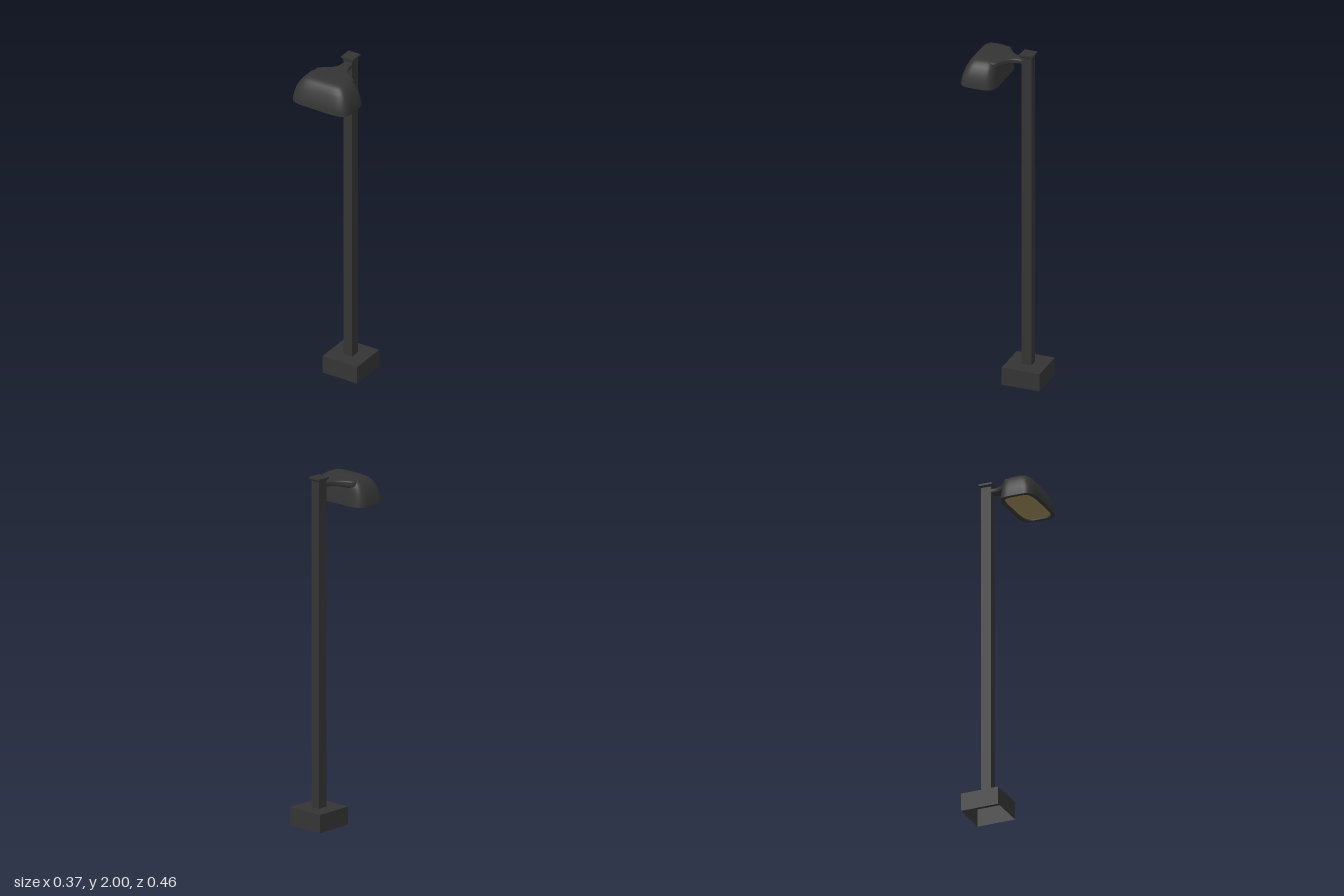
import * as THREE from 'three';

const metal = new THREE.MeshStandardMaterial({ color: 0x343434 });
metal.name = 'charcoal metal';
const metalOpen = metal.clone();
metalOpen.side = THREE.DoubleSide;
const glow = new THREE.MeshStandardMaterial({ color: 0x948455 });
glow.name = 'warm lens';

const SIDES = 56;
const POST_Z = -0.119;

// Unit superellipse point: a rounded rectangle with softly bulged sides
function unit(i, power) {
  const t = (i / SIDES) * Math.PI * 2, c = Math.cos(t), s = Math.sin(t);
  const f = (v) => Math.sign(v) * Math.pow(Math.abs(v), 2 / power);
  return [f(c), f(s)];
}

// Horizontal ring: height, half width, back z, front z
function ring([y, hx, z0, z1]) {
  return Array.from({ length: SIDES }, (_, i) => {
    const [u, v] = unit(i, 4.6);
    return [u * hx, y, (z0 + z1) / 2 + (v * (z1 - z0)) / 2];
  });
}

// Upright neck section: z, half width, bottom y, top y
function section([z, hx, y0, y1]) {
  return Array.from({ length: SIDES }, (_, i) => {
    const [u, v] = unit(i, 4);
    return [u * hx, (y0 + y1) / 2 - (v * (y1 - y0)) / 2, z];
  });
}

// Smooth skin through a list of closed rings
function loft(rings) {
  const index = [];
  for (let j = 0; j < rings.length - 1; j++) {
    for (let i = 0; i < SIDES; i++) {
      const k = (i + 1) % SIDES;
      const a = j * SIDES + i, b = (j + 1) * SIDES + i;
      const c = j * SIDES + k, d = (j + 1) * SIDES + k;
      index.push(a, b, c, c, b, d);
    }
  }
  const g = new THREE.BufferGeometry();
  g.setAttribute('position', new THREE.Float32BufferAttribute(rings.flat(2), 3));
  g.setIndex(index);
  g.computeVertexNormals();
  return g;
}

function add(parent, name, geometry, material, x = 0, y = 0, z = 0) {
  const m = new THREE.Mesh(geometry, material);
  m.name = name;
  m.position.set(x, y, z);
  parent.add(m);
  return m;
}

export function createModel() {
  const model = new THREE.Group();
  model.name = 'streetLamp';

  // Hollow base, open underneath
  const baseGeo = new THREE.BoxGeometry(0.226, 0.105, 0.226);
  const idx = Array.from(baseGeo.index.array);
  idx.splice(18, 6); // drop the bottom face
  baseGeo.setIndex(idx);
  baseGeo.clearGroups();
  add(model, 'base', baseGeo, metalOpen, 0, 0.0525, POST_Z);

  // Square post with a flared collar and flat cap
  add(model, 'post', new THREE.BoxGeometry(0.056, 1.876, 0.06), metal, 0, 1.042, POST_Z);
  const collar = new THREE.CylinderGeometry(0.038 * Math.SQRT2, 0.029 * Math.SQRT2, 0.009, 4, 1, false, Math.PI / 4).toNonIndexed();
  collar.computeVertexNormals();
  add(model, 'collar', collar, metal, 0, 1.9845, POST_Z);
  add(model, 'cap', new THREE.BoxGeometry(0.077, 0.011, 0.077), metal, 0, 1.9945, POST_Z);

  // Lamp head
  const head = new THREE.Group();
  head.name = 'lampHead';
  model.add(head);

  const shell = [
    [1.82, 0.185, 0.014, 0.23],
    [1.845, 0.183, 0.016, 0.228],
    [1.87, 0.178, 0.019, 0.222],
    [1.895, 0.171, 0.022, 0.213],
    [1.92, 0.16, 0.026, 0.203],
    [1.94, 0.147, 0.031, 0.192],
    [1.955, 0.133, 0.039, 0.18],
    [1.965, 0.117, 0.049, 0.167],
    [1.97, 0.097, 0.061, 0.153],
    [1.971, 0.05, 0.085, 0.13],
    [1.971, 0, 0.107, 0.107],
  ].map(ring);
  add(head, 'shade', loft(shell), metal);

  // Underside rim, inner wall and recessed lens
  const inner = [0.163, 0.035, 0.209];
  const low = ring([1.82, ...inner]), high = ring([1.828, ...inner]);
  add(head, 'rim', loft([low, shell[0]]), metal);
  add(head, 'innerWall', loft([high, low]), metal);
  add(head, 'lens', loft([ring([1.828, 0, 0.122, 0.122]), high]), glow);

  // Neck flaring from the post into the shade
  const neck = [
    [-0.095, 0.028, 1.937, 1.967],
    [-0.07, 0.028, 1.937, 1.967],
    [-0.05, 0.031, 1.935, 1.967],
    [-0.035, 0.037, 1.933, 1.967],
    [-0.02, 0.048, 1.931, 1.967],
    [-0.005, 0.063, 1.929, 1.968],
    [0.01, 0.083, 1.925, 1.968],
    [0.025, 0.108, 1.92, 1.969],
    [0.04, 0.124, 1.92, 1.969],
    [0.065, 0.122, 1.92, 1.969],
    [0.09, 0.1, 1.925, 1.968],
  ].map(section);
  add(head, 'neck', loft(neck), metal);

  return model;
}
